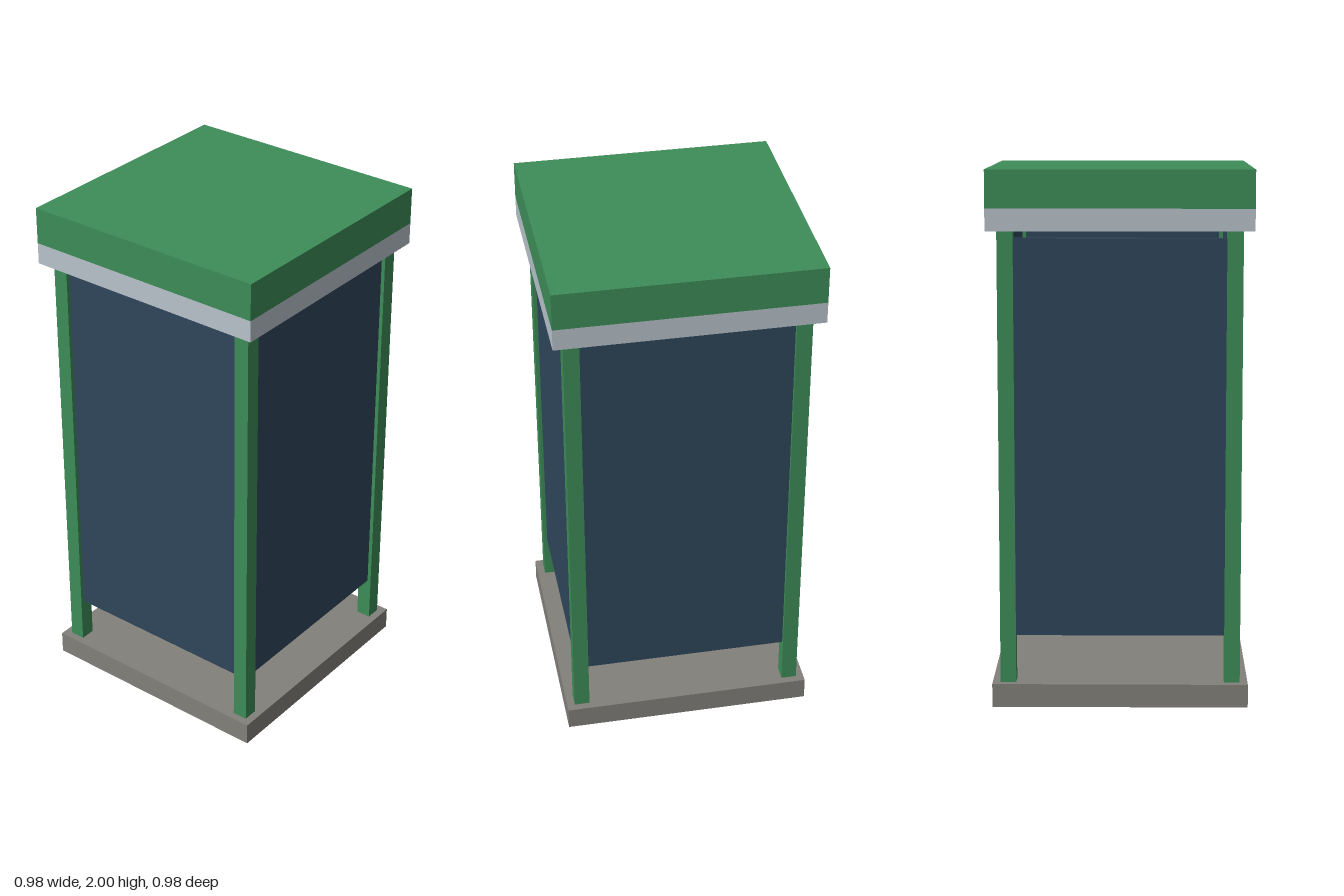
import * as THREE from 'three';

const mat = (name, color) => {
  const m = new THREE.MeshStandardMaterial({ color });
  m.name = name;
  return m;
};

export function createModel() {
  const green = mat('green paint', 0x3d8c57);
  const navy = mat('dark blue panel', 0x2f465c);
  const stone = mat('grey stone', 0x83807a);
  const silver = mat('silver trim', 0xb8c2cb);
  const booth = new THREE.Group();
  booth.name = 'booth';

  // Box given by its bottom and top heights
  const box = (name, material, w, d, y0, y1, x = 0, z = 0) => {
    const mesh = new THREE.Mesh(new THREE.BoxGeometry(w, y1 - y0, d), material);
    mesh.name = name;
    mesh.position.set(x, (y0 + y1) / 2, z);
    return mesh;
  };

  // Base slab and two-tier roof
  booth.add(box('base', stone, 0.956, 0.956, 0, 0.088));
  booth.add(box('roofTrim', silver, 0.976, 0.976, 1.778, 1.86));
  booth.add(box('roof', green, 0.976, 0.976, 1.86, 2));

  // Corner posts
  const c = 0.419;
  for (const sx of [-1, 1]) {
    for (const sz of [-1, 1]) {
      booth.add(box('cornerPost', green, 0.059, 0.059, 0.088, 1.778, sx * c, sz * c));
    }
  }

  // Wall panels, raised off the base and stopping short of the roof
  ['frontPanel', 'leftPanel', 'backPanel', 'rightPanel'].forEach((name, i) => {
    const wall = new THREE.Group();
    wall.name = name;
    wall.add(box('panel', navy, 0.78, 0.029, 0.265, 1.75, 0, c));
    wall.rotation.y = (i * Math.PI) / 2;
    booth.add(wall);
  });

  return booth;
}
